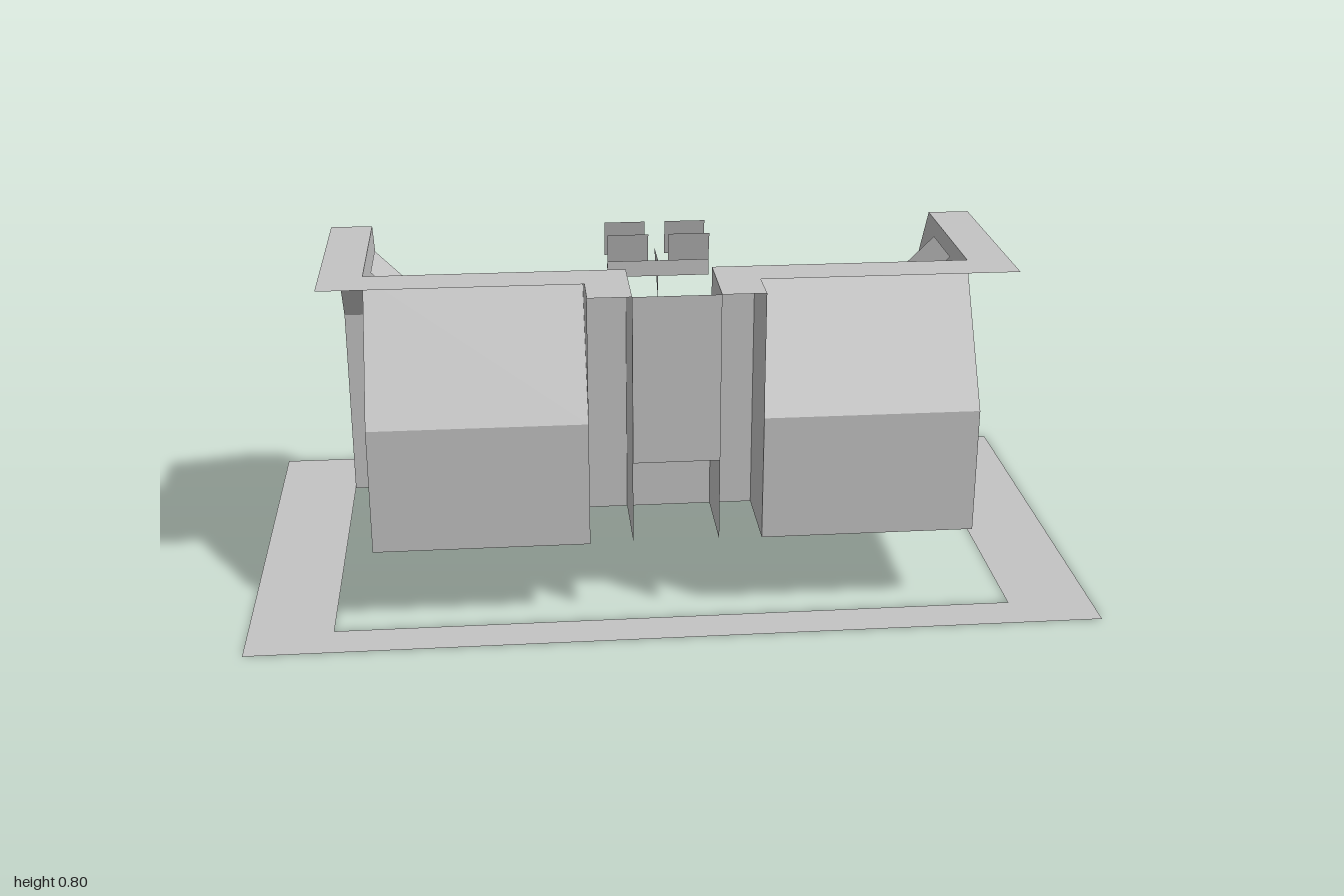
import * as THREE from 'three';

const grey = new THREE.MeshStandardMaterial({ color: 0xc4c4c4, side: THREE.DoubleSide });
grey.name = 'hull grey';

export function createModel() {
  const model = new THREE.Group();
  const add = (name, geometry) => {
    const mesh = new THREE.Mesh(geometry, grey);
    mesh.name = name;
    model.add(mesh);
    return mesh;
  };

  // Flat convex sheet from its corners, in order
  const sheet = (name, pts) => {
    const pos = [];
    for (let i = 1; i < pts.length - 1; i++) pos.push(...pts[0], ...pts[i], ...pts[i + 1]);
    const g = new THREE.BufferGeometry();
    g.setAttribute('position', new THREE.Float32BufferAttribute(pos, 3));
    g.computeVertexNormals();
    return add(name, g);
  };

  // Any flat outline with holes, placed by a mapping from (u, v) to (x, y, z)
  const plate = (name, outline, map, holes = []) => {
    const toV = (p) => p.map(([u, v]) => new THREE.Vector2(u, v));
    const shape = new THREE.Shape(toV(outline));
    holes.forEach((h) => shape.holes.push(new THREE.Path(toV(h))));
    const g = new THREE.ShapeGeometry(shape);
    const a = g.attributes.position;
    for (let i = 0; i < a.count; i++) a.setXYZ(i, ...map(a.getX(i), a.getY(i)));
    g.computeVertexNormals();
    return add(name, g);
  };
  const level = (y) => (u, v) => [u, y, v];
  const sideways = (x) => (u, v) => [x, v, u];
  const upright = (z) => (u, v) => [u, v, z];
  const rect = (u0, u1, v0, v1) => [[u0, v0], [u1, v0], [u1, v1], [u0, v1]];
  const box = (name, x0, x1, y0, y1, z0, z1) =>
    add(name, new THREE.BoxGeometry(x1 - x0, y1 - y0, z1 - z0)
      .translate((x0 + x1) / 2, (y0 + y1) / 2, (z0 + z1) / 2));

  // Ground frame
  plate('groundFrame', rect(-1, 1, -0.55, 0.55), level(0), [rect(-0.8, 0.8, -0.35, 0.45)]);

  // Cabin floor with stair notches, front notch and console openings
  plate('floor', [
    [-0.6, -0.35], [0.6, -0.35], [0.6, -0.15], [0.7, -0.15], [0.7, 0.45], [0.2, 0.45], [0.2, 0.25],
    [-0.2, 0.25], [-0.2, 0.45], [-0.7, 0.45], [-0.7, -0.15], [-0.6, -0.15],
  ], level(0.2), [
    rect(-0.5, -0.3, -0.05, 0.15), rect(0.3, 0.5, -0.05, 0.15), rect(-0.1, 0.1, -0.05, 0.05),
  ]);

  // Rear skirt and door posts in one sheet
  plate('rearPanel', [
    [-0.8, 0], [0.8, 0], [0.8, 0.5], [0.7, 0.5], [0.7, 0.1], [0.6, 0.1], [0.6, 0.2],
    [-0.6, 0.2], [-0.6, 0.1], [-0.7, 0.1], [-0.7, 0.5], [-0.8, 0.5],
  ], upright(-0.35));

  // Front alcove between the two bays
  plate('alcoveFront', rect(-0.1, 0.1, 0.4, 0.8), upright(0.45));
  plate('alcoveShelf', rect(-0.1, 0.1, 0.25, 0.45), level(0.4));
  plate('alcoveRiser', rect(-0.1, 0.1, 0.2, 0.4), upright(0.25));

  for (const s of [-1, 1]) {
    // Side wall, with its lower edge following the stairs
    plate('sideWall', [
      [0.45, 0.2], [0.45, 0.5], [0.25, 0.8], [-0.15, 0.8], [-0.35, 0.5], [-0.35, 0.1],
      [-0.25, 0.1], [-0.25, 0.15], [-0.15, 0.15], [-0.15, 0.2],
    ], sideways(s * 0.7));
    // Front bay: upright lower face and leaning upper face
    sheet('bayFront', [[s * 0.2, 0.2, 0.45], [s * 0.7, 0.2, 0.45], [s * 0.7, 0.5, 0.45], [s * 0.2, 0.5, 0.45]]);
    sheet('baySlope', [[s * 0.2, 0.5, 0.45], [s * 0.7, 0.5, 0.45], [s * 0.7, 0.8, 0.25], [s * 0.2, 0.8, 0.25]]);
    // Hollow column beside the alcove
    for (const x of [0.1, 0.2]) plate('columnSide', rect(0.25, 0.45, 0.2, 0.8), sideways(s * x));
    plate('columnBack', rect(s * 0.1, s * 0.2, 0.2, 0.8), upright(0.25));
    // Flat roof rim
    plate('roofRim', [
      [s * 0.1, 0.25], [s * 0.7, 0.25], [s * 0.7, -0.15], [s * 0.8, -0.15],
      [s * 0.8, 0.35], [s * 0.2, 0.35], [s * 0.2, 0.45], [s * 0.1, 0.45],
    ], level(0.8));
    sheet('doorPostSlope', [[s * 0.7, 0.5, -0.35], [s * 0.8, 0.5, -0.35], [s * 0.8, 0.8, -0.15], [s * 0.7, 0.8, -0.15]]);

    // Corner stairs
    plate('stairTread', rect(s * 0.6, s * 0.7, -0.35, -0.25), level(0.1));
    plate('stairTread', rect(s * 0.6, s * 0.7, -0.25, -0.15), level(0.15));
    plate('stairRiser', rect(s * 0.6, s * 0.7, 0.1, 0.15), upright(-0.25));
    plate('stairRiser', rect(s * 0.6, s * 0.7, 0.15, 0.2), upright(-0.15));
    plate('stairSide', [
      [-0.35, 0.1], [-0.25, 0.1], [-0.25, 0.15], [-0.15, 0.15], [-0.15, 0.2], [-0.35, 0.2],
    ], sideways(s * 0.6));

    // Sloped control desk between two cheeks
    sheet('deskSlope', [[s * 0.3, 0.2, -0.05], [s * 0.5, 0.2, -0.05], [s * 0.5, 0.5, 0.15], [s * 0.3, 0.5, 0.15]]);
    plate('deskBack', rect(s * 0.3, s * 0.5, 0.2, 0.5), upright(0.15));
    for (const x of [0.3, 0.5]) sheet('deskSide', [[s * x, 0.2, -0.05], [s * x, 0.5, 0.15], [s * x, 0.2, 0.15]]);
    const cheek = new THREE.Shape([[-0.05, 0.2], [-0.05, 0.27], [0.1, 0.49], [0.13, 0.49], [0.13, 0.2]]
      .map(([z, y]) => new THREE.Vector2(-z, y)));
    for (const x of [0.28, 0.5]) {
      const g = new THREE.ExtrudeGeometry(cheek, { depth: 0.02, bevelEnabled: false });
      add('deskCheek', g.rotateY(Math.PI / 2).translate(s > 0 ? x : -x - 0.02, 0, 0));
    }

    // Tilted screen high on the side wall
    sheet('sideScreen', [[s * 0.69, 0.77, -0.04], [s * 0.69, 0.77, 0.13], [s * 0.61, 0.69, 0.13], [s * 0.61, 0.69, -0.04]]);

    // Stools, the outer one under a stack of shelves
    for (const [x, z] of [[s * 0.15, -0.3], [s * 0.65, -0.1]]) {
      box('stoolSeat', x - 0.05, x + 0.05, 0.235, 0.26, z - 0.05, z + 0.05);
      sheet('stoolLeg', [[x - 0.04, 0.2, z], [x + 0.04, 0.2, z], [x, 0.24, z]]);
      sheet('stoolLeg', [[x, 0.2, z - 0.04], [x, 0.2, z + 0.04], [x, 0.24, z]]);
    }
    for (const y of [0.3, 0.35, 0.4])
      plate('shelf', rect(s * 0.6, s * 0.7, -0.15, -0.05), level(y));

    // Hanging screens
    for (const z of [-0.14, -0.03]) {
      const x0 = s * 0.025, x1 = s * 0.125;
      sheet('hangingScreen', [[x0, 0.71, z - 0.01], [x1, 0.71, z - 0.01], [x1, 0.8, z + 0.01], [x0, 0.8, z + 0.01]]);
    }
  }

  // Handrail that steps back around the middle
  const rail = [[-0.7, 0.12], [-0.2, 0.12], [-0.1, 0.05], [0.1, 0.05], [0.2, 0.12], [0.7, 0.12]];
  const railOuter = rail.map(([x, z]) => [x, z + 0.02]).reverse();
  const railShape = new THREE.Shape([...rail, ...railOuter].map(([x, z]) => new THREE.Vector2(x, -z)));
  add('handrail', new THREE.ExtrudeGeometry(railShape, { depth: 0.07, bevelEnabled: false })
    .rotateX(-Math.PI / 2).translate(0, 0.4, 0));

  // Centre pedestal, open below
  sheet('pedestalSlope', [[-0.1, 0.2, -0.05], [0.1, 0.2, -0.05], [0.1, 0.27, -0.02], [-0.1, 0.27, -0.02]]);
  plate('pedestalTop', rect(-0.1, 0.1, -0.02, 0.05), level(0.27));
  plate('pedestalFront', rect(-0.1, 0.1, 0.2, 0.27), upright(0.05));
  for (const x of [-0.1, 0.1])
    plate('pedestalSide', [[-0.05, 0.2], [0.05, 0.2], [0.05, 0.27], [-0.02, 0.27]], sideways(x));

  // Bracket holding the hanging screens
  plate('screenBar', rect(-0.125, 0.125, 0.69, 0.73), upright(-0.03));
  sheet('screenBracket', [[0, 0.73, -0.14], [0, 0.73, -0.03], [0, 0.63, -0.04]]);

  return model;
}
